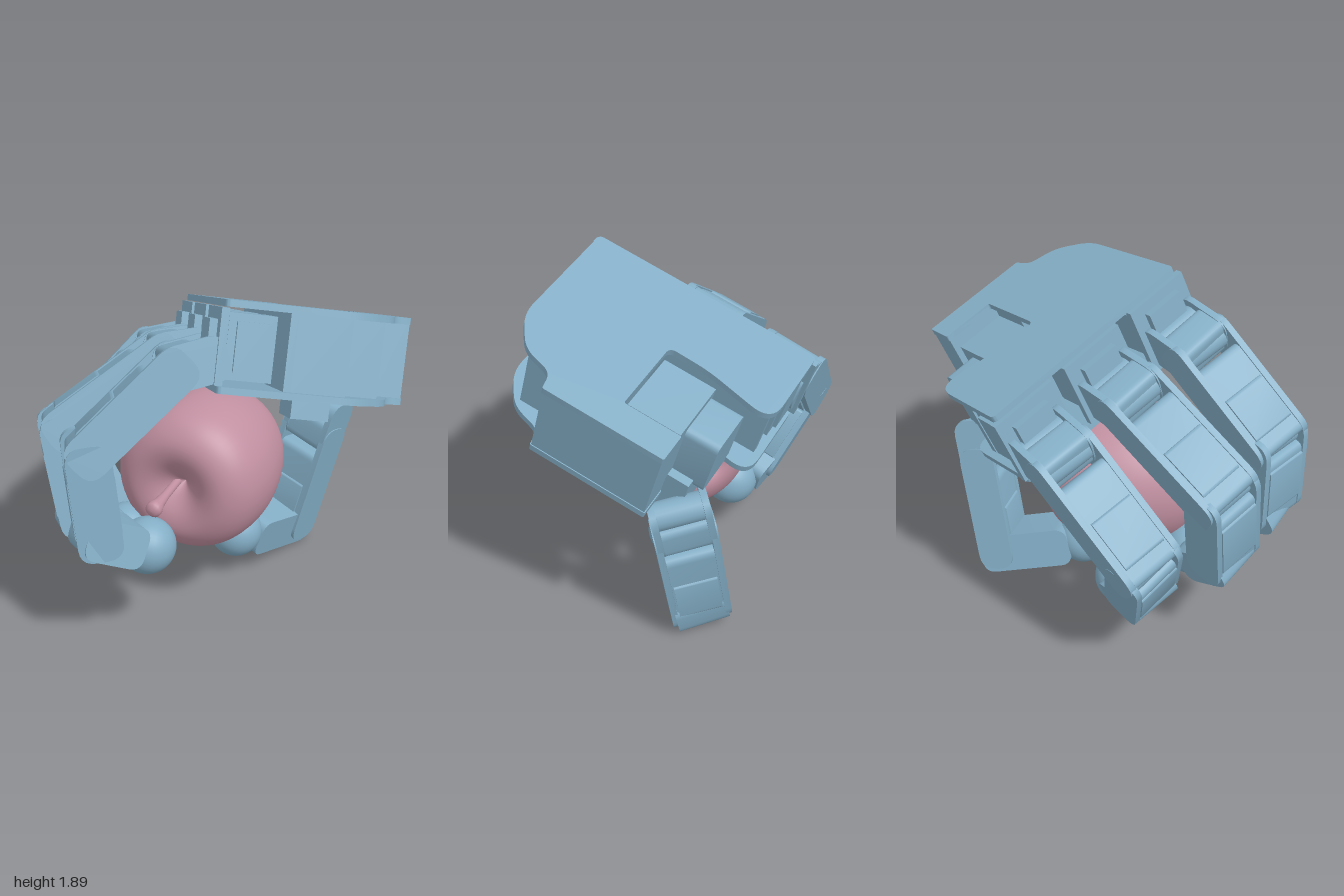
import * as THREE from 'three';
import { toCreasedNormals } from 'three/addons/utils/BufferGeometryUtils.js';

const V = (x, y, z) => new THREE.Vector3(x, y, z);
const shell = new THREE.MeshStandardMaterial({ color: 0x84aec6 });
const skin = new THREE.MeshStandardMaterial({ color: 0xc08fa0, side: THREE.DoubleSide });

function add(parent, name, geo, mat = shell) {
  const m = new THREE.Mesh(geo, mat);
  m.name = name;
  parent.add(m);
  return m;
}

// box given by its min and max on each axis
function block(parent, name, x0, x1, y0, y1, z0, z1) {
  const g = new THREE.BoxGeometry(x1 - x0, y1 - y0, z1 - z0);
  g.translate((x0 + x1) / 2, (y0 + y1) / 2, (z0 + z1) / 2);
  return add(parent, name, g);
}

// closed polygon with rounded corners; each point is [x, y, radius]
function roundedShape(pts) {
  const s = new THREE.Shape();
  pts.forEach(([x, y, r], i) => {
    const p = new THREE.Vector2(x, y);
    const toward = (q) => p.clone().add(new THREE.Vector2(q[0] - x, q[1] - y).setLength(r));
    const a = toward(pts[(i + pts.length - 1) % pts.length]);
    const b = toward(pts[(i + 1) % pts.length]);
    if (i) s.lineTo(a.x, a.y); else s.moveTo(a.x, a.y);
    s.quadraticCurveTo(x, y, b.x, b.y);
  });
  s.closePath();
  return s;
}

// rounded side profile running along z, extruded across x
function slab(z0, z1, h, width, x, r) {
  const s = roundedShape([[z0, -h, r], [z1, -h, r], [z1, h, r], [z0, h, r]]);
  const g = new THREE.ExtrudeGeometry(s, { depth: width, bevelEnabled: false, curveSegments: 5 });
  g.translate(0, 0, -width / 2).rotateY(-Math.PI / 2).translate(x, 0, 0);
  return toCreasedNormals(g, 0.5);
}

// group at a, with z pointing to b and x close to the hinge axis
function frame(parent, name, a, b, axis) {
  const z = b.clone().sub(a).normalize();
  const x = axis.clone().addScaledVector(z, -axis.dot(z)).normalize();
  const g = new THREE.Group();
  g.name = name;
  g.quaternion.setFromRotationMatrix(new THREE.Matrix4().makeBasis(x, z.clone().cross(x), z));
  g.position.copy(a);
  parent.add(g);
  return g;
}

// one link: motor body, two side arms and raised covers
function link(parent, name, a, b, axis, width, h, wide) {
  const L = a.distanceTo(b), w = width / 2;
  const g = frame(parent, name, a, b, axis);
  const long = L > 0.55;
  const start = long ? L * 0.16 : 0.04;
  add(g, 'motorBody', slab(start, L + 0.06, h * 0.94, width - 0.06, 0, 0.045));
  for (const s of [-1, 1]) {
    add(g, 'sideArm', slab(-0.09, L + 0.08, h, 0.035, s * (w - 0.02 + wide), 0.09));
    if (L > 0.3) {
      const from = long ? L * 0.5 : 0.09;
      add(g, 'motorCover', slab(from, L - 0.04, 0.03, width - 0.08, 0, 0.02)).position.y = s * (h - 0.025);
    }
  }
  const pin = new THREE.CylinderGeometry(0.075, 0.075, width - 0.05, 20);
  add(g, 'hingePin', toCreasedNormals(pin.rotateZ(Math.PI / 2), 0.6));
}

// chain of links ending in a ball-shaped tip
function digit(parent, name, pts, axis, width, h) {
  const g = new THREE.Group();
  g.name = name;
  parent.add(g);
  const n = pts.length - 1;
  for (let i = 0; i < n - 1; i++) link(g, 'link', pts[i], pts[i + 1], axis, width, h, i % 2 ? 0.008 : 0);
  const L = pts[n - 1].distanceTo(pts[n]);
  const end = frame(g, 'endLink', pts[n - 1], pts[n], axis);
  add(end, 'tipHolder', slab(-0.1, Math.max(L - 0.06, 0.14), 0.112, width - 0.03, 0, 0.07));
  add(end, 'tipBall', new THREE.SphereGeometry(0.152, 32, 24)).position.z = L;
}

function buildPalm(hand) {
  // outline in x and -z, with the thumb notch on the -x side
  const outline = roundedShape([
    [-0.64, 0, 0.03], [-0.64, 0.53, 0.13], [-0.25, 0.445, 0.08], [-0.03, 0.44, 0.04], [-0.03, 0.88, 0.01],
    [-0.34, 0.88, 0.01], [-0.34, 1.05, 0.01], [0.31, 1.05, 0.01], [0.33, 0.95, 0.05], [0.5, 0.9, 0.07],
    [0.63, 0.72, 0.09], [0.64, 0, 0.03],
  ]);
  const plate = new THREE.ExtrudeGeometry(outline, { depth: 0.035, bevelEnabled: false, curveSegments: 8 });
  const geo = toCreasedNormals(plate.rotateX(-Math.PI / 2), 0.5);
  add(hand, 'backPlate', geo).position.y = -0.035;
  add(hand, 'palmPlate', geo).position.y = -0.46;
  block(hand, 'wristBlock', -0.335, 0.305, -0.455, -0.005, -1.045, -0.88);
  block(hand, 'sideWall', 0.5, 0.59, -0.43, -0.03, -0.66, -0.38);
  block(hand, 'innerBlock', -0.02, 0.5, -0.43, -0.03, -0.85, -0.6);
  block(hand, 'crossWall', -0.6, 0.59, -0.43, -0.03, -0.38, -0.34);
  // knuckle motors along the front edge
  for (const x of [0.47, 0, -0.47]) {
    block(hand, 'knuckleMotor', x - 0.14, x + 0.14, -0.39, -0.06, -0.27, -0.03);
    block(hand, 'motorFlange', x - 0.16, x + 0.16, -0.35, -0.1, -0.23, -0.07);
    block(hand, 'knuckleMount', x - 0.19, x + 0.19, -0.42, -0.04, -0.02, 0.02);
    block(hand, 'knucklePlate', x - 0.11, x + 0.11, -0.38, -0.1, 0.02, 0.06);
  }
  // thumb motor in the notch
  block(hand, 'thumbMotor', -0.32, -0.03, -0.42, -0.07, -0.82, -0.46);
  add(hand, 'thumbMotorCase', slab(-0.75, -0.47, 0.17, 0.2, -0.4, 0.04)).position.y = -0.28;
  block(hand, 'thumbMount', -0.44, -0.16, -0.63, -0.4, -0.8, -0.58);
}

function buildApple(root) {
  const apple = new THREE.Group();
  apple.name = 'apple';
  apple.position.set(0.03, 0.795, 0);
  root.add(apple);
  const profile = new THREE.SplineCurve([
    [0, -0.3], [0.05, -0.34], [0.12, -0.385], [0.2, -0.375], [0.29, -0.315], [0.365, -0.2], [0.41, -0.05],
    [0.425, 0.1], [0.405, 0.26], [0.35, 0.36], [0.26, 0.415], [0.16, 0.405], [0.06, 0.34], [0, 0.28],
  ].map(([r, h]) => new THREE.Vector2(r, h)));
  const body = profile.getPoints(70).map((p) => p.set(Math.max(p.x, 0), p.y));
  add(apple, 'appleBody', new THREE.LatheGeometry(body, 56).rotateX(Math.PI / 2), skin);
  // straight stem, thicker at its end
  const stem = frame(apple, 'stem', V(-0.04, 0, 0.26), V(-0.03, -0.025, 0.62), V(1, 0, 0));
  const stemProfile = [[0.022, 0], [0.024, 0.2], [0.032, 0.28], [0.044, 0.32], [0.042, 0.345], [0.025, 0.36], [0, 0.362]];
  const stemPoints = stemProfile.map(([r, h]) => new THREE.Vector2(r, h));
  add(stem, 'stemRod', new THREE.LatheGeometry(stemPoints, 16).rotateX(Math.PI / 2), skin);
}

export function createModel() {
  const root = new THREE.Group();
  root.name = 'robotHandWithApple';

  // hand frame: x across the knuckles, y out of the back, z along the fingers
  const hand = new THREE.Group();
  hand.name = 'hand';
  const across = V(0.549, 0.329, 0.769).normalize();
  const up = V(-0.056, 0.932, -0.358);
  up.addScaledVector(across, -up.dot(across)).normalize();
  const basis = new THREE.Matrix4().makeBasis(across, up, across.clone().cross(up));
  hand.quaternion.setFromRotationMatrix(basis);
  hand.position.set(-0.07, 1.67, -0.16);
  root.add(hand);
  buildPalm(hand);

  // fingers: base, three joints and tip in the hand frame
  const fingers = {
    indexFinger: [[0.48, -0.3, 0.04], [0.48, -0.36, 0.2], [0.44, -0.83, 0.59], [0.34, -1.26, 0.48], [0.27, -1.31, 0.21]],
    middleFinger: [[0, -0.28, 0.04], [0, -0.32, 0.2], [-0.02, -0.77, 0.7], [-0.07, -1.24, 0.55], [-0.1, -1.31, 0.28]],
    outerFinger: [[-0.48, -0.28, 0.04], [-0.49, -0.33, 0.2], [-0.53, -0.85, 0.6], [-0.5, -1.23, 0.34], [-0.47, -1.29, 0.11]],
  };
  for (const [name, joints] of Object.entries(fingers)) {
    digit(hand, name, joints.map((p) => V(...p)), V(1, 0, 0), 0.33, 0.115);
  }

  // thumb
  const thumb = [V(0.41, 0.87, -0.74), V(0.37, 0.71, -0.72), V(0.24, 0.13, -0.65), V(0.12, 0.25, -0.18)];
  digit(root, 'thumb', thumb, V(0.92, -0.21, 0.32), 0.31, 0.1);

  buildApple(root);
  return root;
}
